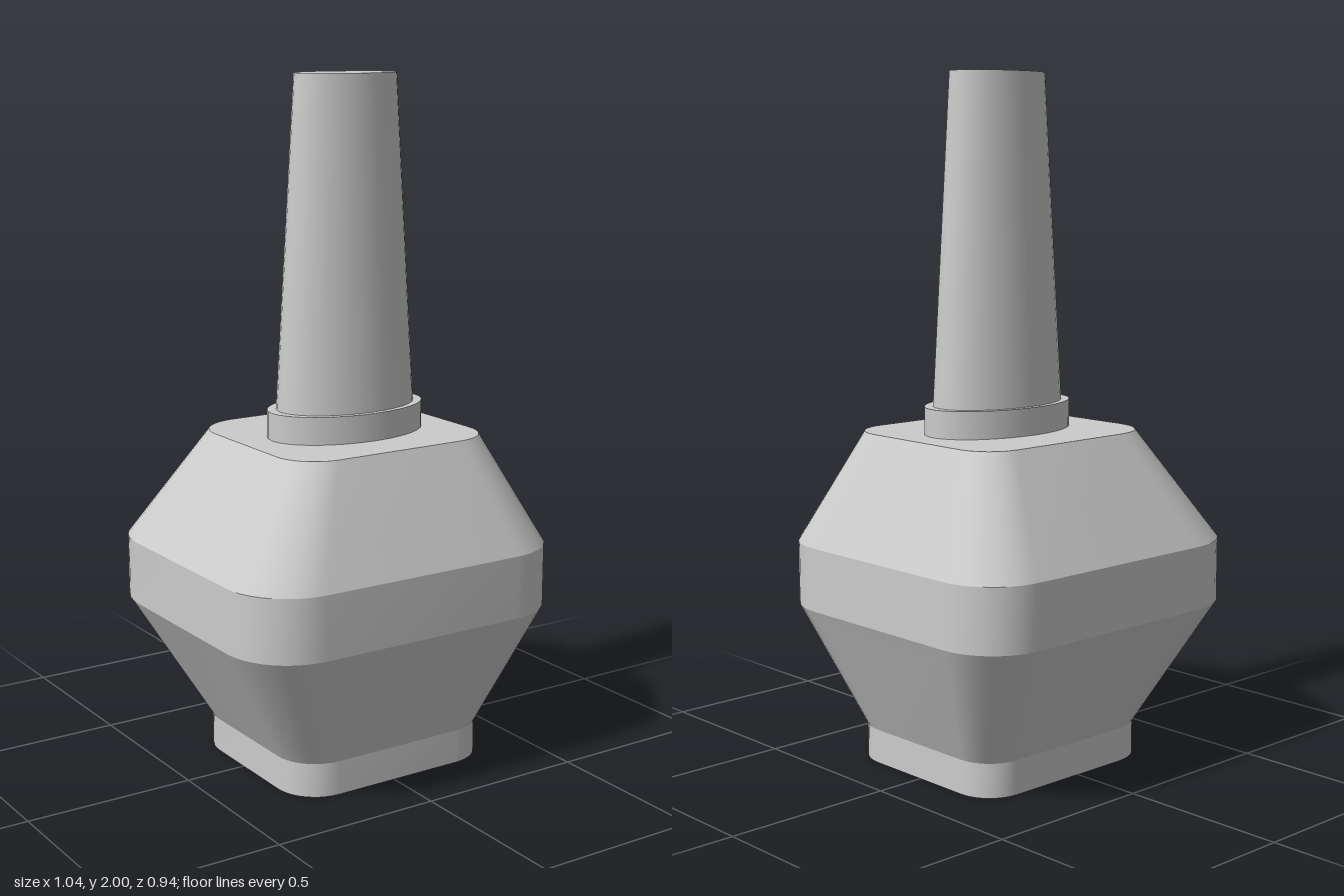
import * as THREE from 'three';
import { toCreasedNormals } from 'three/addons/utils/BufferGeometryUtils.js';

const material = new THREE.MeshStandardMaterial({ color: 0xcccccc });

// Rounded rectangle ring, counter-clockwise from above.
// radii order: right-back, left-back, left-front, right-front
function roundedRing(y, { x0, x1, z0, z1, radii }, steps = 10) {
  const corners = [[x1, z0, -1, 1], [x0, z0, 1, 1], [x0, z1, 1, -1], [x1, z1, -1, -1]];
  const ring = [];
  corners.forEach(([x, z, sx, sz], c) => {
    const r = radii[c];
    for (let i = 0; i <= steps; i++) {
      const a = (c + i / steps) * Math.PI / 2;
      ring.push([x + sx * r + r * Math.cos(a), y, z + sz * r - r * Math.sin(a)]);
    }
  });
  return ring;
}

// Skin a stack of rings from bottom to top and close both ends
function loft(rings) {
  const n = rings[0].length;
  const index = [];
  const positions = rings.flat(2);
  for (let k = 0; k < rings.length - 1; k++) {
    for (let i = 0; i < n; i++) {
      const a = k * n + i, b = k * n + (i + 1) % n;
      index.push(a, b, b + n, a, b + n, a + n);
    }
  }
  const last = (rings.length - 1) * n;
  for (let i = 1; i < n - 1; i++) {
    index.push(0, i + 1, i);
    index.push(last, last + i, last + i + 1);
  }
  const geometry = new THREE.BufferGeometry();
  geometry.setAttribute('position', new THREE.Float32BufferAttribute(positions, 3));
  geometry.setIndex(index);
  return toCreasedNormals(geometry, 0.3);
}

// Tapered elliptical cylinder standing on y0
function ellipticPost(name, y0, y1, topRadius, bottomRadius, depthRatio) {
  const geometry = new THREE.CylinderGeometry(topRadius, bottomRadius, y1 - y0, 32);
  geometry.scale(1, 1, depthRatio);
  const mesh = new THREE.Mesh(geometry, material);
  mesh.name = name;
  mesh.position.set(0.023, (y0 + y1) / 2, 0.028);
  return mesh;
}

export function createModel() {
  const group = new THREE.Group();
  group.name = 'bottle';

  // Body: narrow foot, flare, straight belt, sloping shoulders
  const narrow = { x0: -0.315, x1: 0.353, z0: -0.285, z1: 0.32, radii: [0.11, 0.145, 0.125, 0.13] };
  const wide = { x0: -0.522, x1: 0.52, z0: -0.473, z1: 0.47, radii: [0.175, 0.225, 0.195, 0.2] };
  const body = new THREE.Mesh(loft([
    roundedRing(0, narrow),
    roundedRing(0.1, narrow),
    roundedRing(0.47, wide),
    roundedRing(0.655, wide),
    roundedRing(0.975, narrow),
  ]), material);
  body.name = 'body';
  group.add(body);

  // Collar and tall tapered cap
  group.add(ellipticPost('collar', 0.97, 1.055, 0.248, 0.248, 0.637));
  group.add(ellipticPost('cap', 1.05, 2, 0.16, 0.22, 0.64));
  return group;
}
